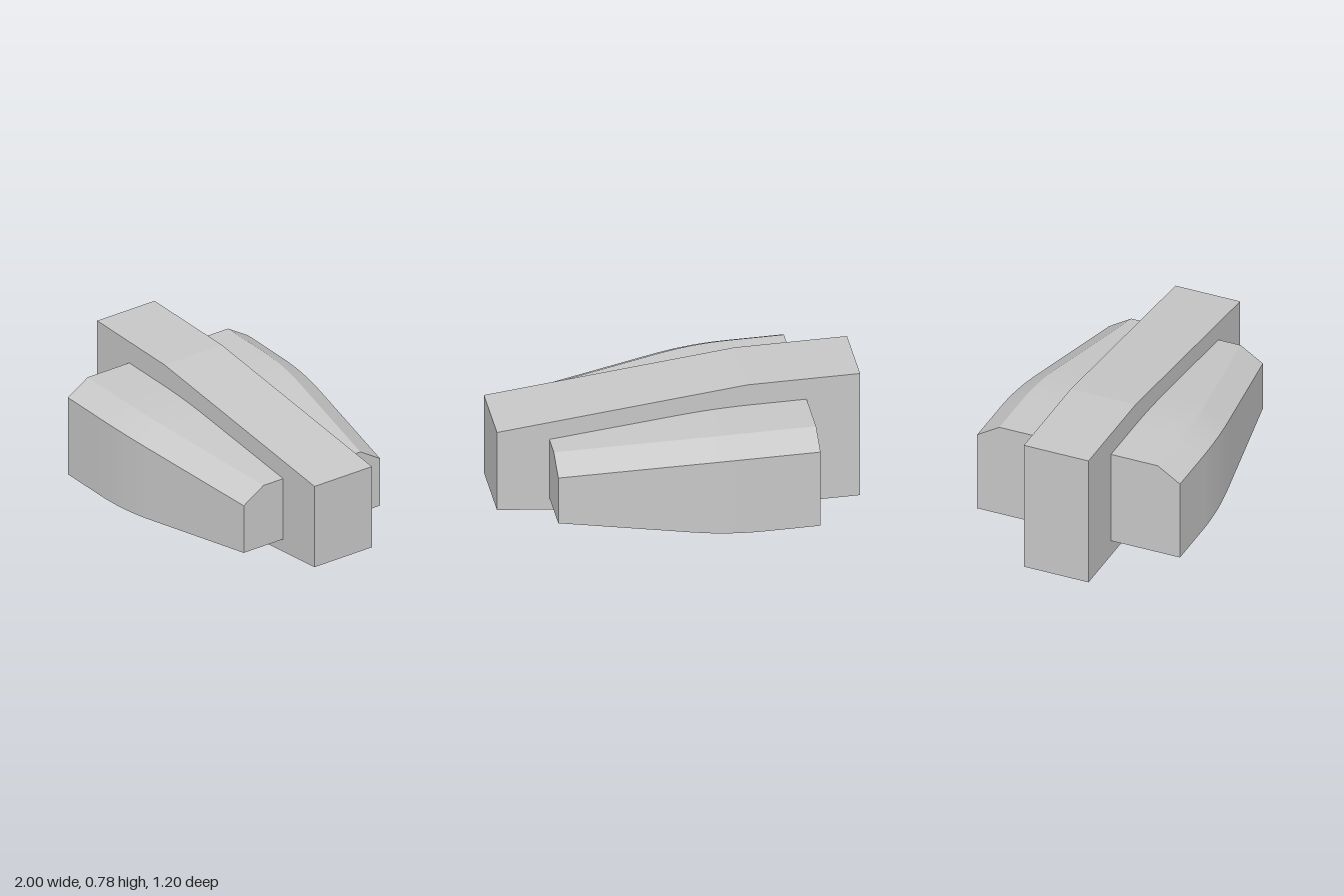
import * as THREE from 'three';

// Taper of the pods: flat, then a smooth curve, then a straight slope
function taper(x) {
  if (x <= -0.4) return 0;
  return x < 0 ? ((x + 0.4) ** 2) / 0.8 : 0.2 + x;
}

// Pod cross-section at x as [x, y, z] corners; side is +1 (front) or -1 (back)
function podSection(x, side) {
  const dz = 0.16 * taper(x), dy = 0.1 * taper(x);
  return [
    [0.18, 0.095 + dy],
    [0.602 - dz, 0.095 + dy],
    [0.602 - dz, 0.567 - dy],
    [0.47 - dz, 0.65 - dy],
    [0.18, 0.65 - dy],
  ].map(([z, y]) => [x, y, z * side]);
}

function podGeometry(side) {
  const xs = [-0.705];
  for (let i = 0; i <= 8; i++) xs.push(-0.4 + i * 0.05);
  xs.push(0.712);
  const rings = xs.map((x) => podSection(x, side));
  const positions = [];
  const tri = (a, b, c) => positions.push(...a, ...(side > 0 ? [...b, ...c] : [...c, ...b]));

  // Skin between neighbouring sections
  for (let i = 0; i < rings.length - 1; i++) {
    const p = rings[i], q = rings[i + 1];
    for (let j = 0; j < 5; j++) {
      const k = (j + 1) % 5;
      tri(p[j], q[k], p[k]);
      tri(p[j], q[j], q[k]);
    }
  }
  // End caps
  const first = rings[0], last = rings[rings.length - 1];
  for (let j = 1; j < 4; j++) {
    tri(first[0], first[j], first[j + 1]);
    tri(last[0], last[j + 1], last[j]);
  }
  const geometry = new THREE.BufferGeometry();
  geometry.setAttribute('position', new THREE.Float32BufferAttribute(positions, 3));
  geometry.computeVertexNormals();
  return geometry;
}

export function createModel() {
  const group = new THREE.Group();
  group.name = 'taperedHull';
  const grey = new THREE.MeshStandardMaterial({ color: 0xc8c8c8 });
  grey.name = 'light grey';

  // Central slab, tapering towards +x
  const outline = new THREE.Shape([
    [-1, 0], [-0.32, 0], [1, 0.14], [1, 0.637], [-0.38, 0.78], [-1, 0.78],
  ].map(([x, y]) => new THREE.Vector2(x, y)));
  const slabGeometry = new THREE.ExtrudeGeometry(outline, { depth: 0.384, bevelEnabled: false });
  slabGeometry.translate(0, 0, -0.192);
  const slab = new THREE.Mesh(slabGeometry, grey);
  slab.name = 'centralSlab';
  group.add(slab);

  // Mirrored side pods
  for (const side of [1, -1]) {
    const pod = new THREE.Mesh(podGeometry(side), grey);
    pod.name = side > 0 ? 'frontPod' : 'backPod';
    group.add(pod);
  }
  return group;
}
